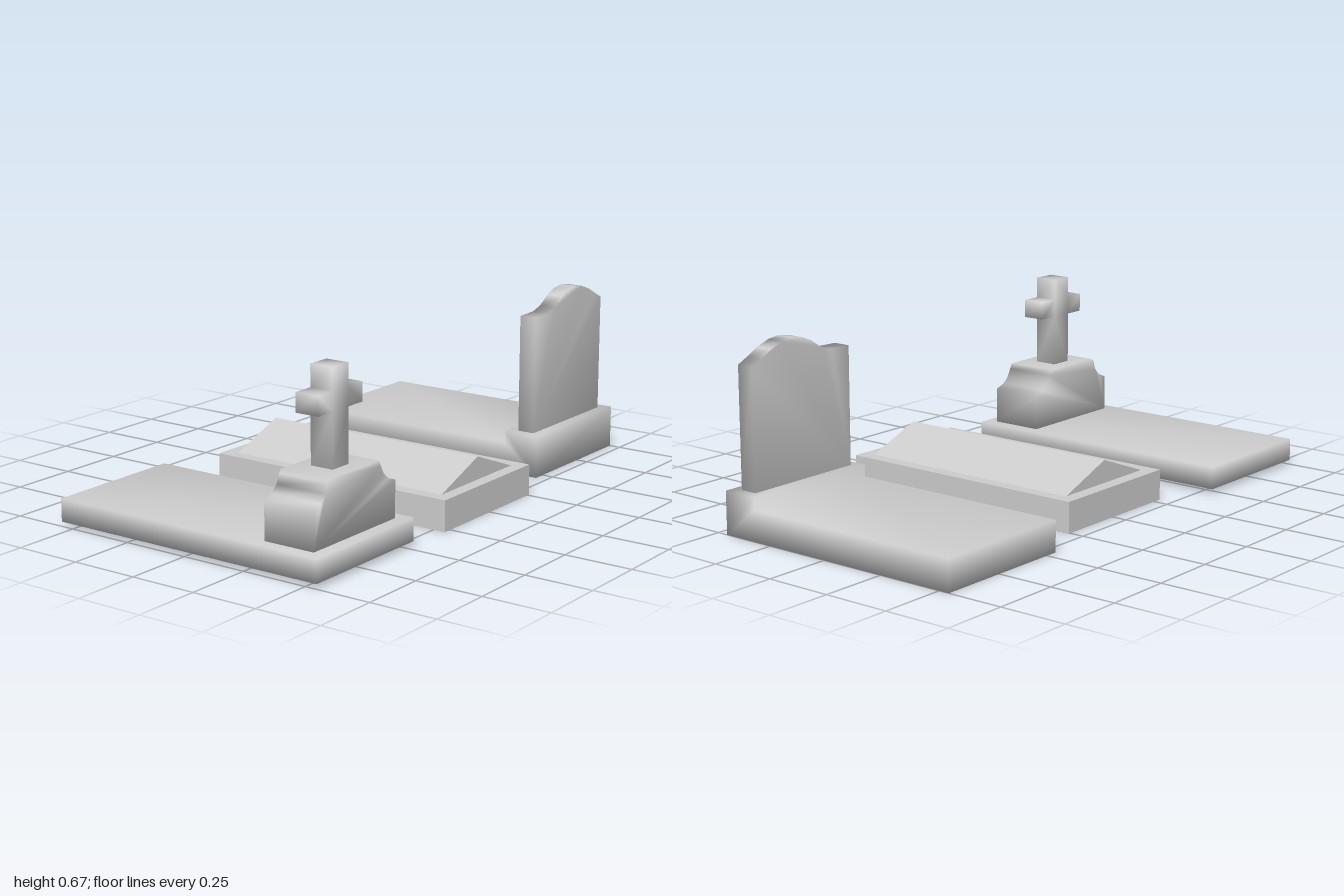
import * as THREE from 'three';
import { mergeVertices } from 'three/addons/utils/BufferGeometryUtils.js';

const stone = new THREE.MeshStandardMaterial({ color: 0xcccccc });
const flatStone = new THREE.MeshStandardMaterial({ color: 0xcccccc, flatShading: true });

// Share corner vertices so the shading rolls softly over the edges
function soften(geometry) {
  geometry.deleteAttribute('normal');
  geometry.deleteAttribute('uv');
  const merged = mergeVertices(geometry, 1e-4);
  merged.computeVertexNormals();
  return merged;
}

function extrude(points, depth) {
  const shape = new THREE.Shape(points.map(([a, b]) => new THREE.Vector2(a, b)));
  return new THREE.ExtrudeGeometry(shape, { depth, bevelEnabled: false });
}

// Profile in (z, y), swept from x0 to x1
function sweepX(points, x0, x1) {
  return extrude(points, x1 - x0).rotateY(-Math.PI / 2).translate(x1, 0, 0);
}

function box(x0, x1, y0, y1, z0, z1) {
  return new THREE.BoxGeometry(x1 - x0, y1 - y0, z1 - z0)
    .translate((x0 + x1) / 2, (y0 + y1) / 2, (z0 + z1) / 2);
}

function add(group, name, geometry, material) {
  const mesh = new THREE.Mesh(geometry, material);
  mesh.name = name;
  group.add(mesh);
}

function grave(parent, name) {
  const group = new THREE.Group();
  group.name = name;
  parent.add(group);
  return group;
}

export function createModel() {
  const model = new THREE.Group();
  model.name = 'graves';

  // Grave with a cross on a shouldered pedestal
  const crossGrave = grave(model, 'crossGrave');
  add(crossGrave, 'crossGraveSlab', soften(box(-0.55, 0.545, 0.017, 0.1, 0.467, 1)), stone);
  const pedestal = [
    [0.955, 0.1], [0.955, 0.233], [0.915, 0.25], [0.89, 0.275], [0.878, 0.308], [0.865, 0.32],
    [0.603, 0.32], [0.592, 0.3], [0.575, 0.268], [0.55, 0.247], [0.51, 0.233], [0.51, 0.1],
  ];
  add(crossGrave, 'pedestal', soften(sweepX(pedestal, 0.302, 0.5)), stone);
  const cross = [
    [0.778, 0.32], [0.778, 0.512], [0.855, 0.512], [0.855, 0.58], [0.778, 0.58], [0.778, 0.658],
    [0.692, 0.658], [0.692, 0.58], [0.615, 0.58], [0.615, 0.512], [0.692, 0.512], [0.692, 0.32],
  ];
  add(crossGrave, 'cross', soften(sweepX(cross, 0.355, 0.443)), stone);

  // Low grave with a gabled lid
  const lidGrave = grave(model, 'lidGrave');
  add(lidGrave, 'lidGraveSlab', box(-0.445, 0.547, 0, 0.113, -0.257, 0.283), flatStone);
  add(lidGrave, 'gabledLid',
    sweepX([[0.235, 0.113], [0.012, 0.197], [-0.208, 0.113]], -0.395, 0.5), flatStone);

  // Grave with a headstone; the slab steps up at the head
  const headstoneGrave = grave(model, 'headstoneGrave');
  const steppedSlab = [[-0.54, 0], [0.457, 0], [0.457, 0.157], [0.32, 0.157], [0.32, 0.113], [-0.54, 0.113]];
  add(headstoneGrave, 'steppedSlab', soften(extrude(steppedSlab, 0.547).translate(0, 0, -1)), stone);
  const headstone = [
    [-0.488, 0.157], [-0.488, 0.592], [-0.575, 0.594], [-0.625, 0.608], [-0.675, 0.64], [-0.715, 0.657],
    [-0.77, 0.665], [-0.815, 0.659], [-0.87, 0.64], [-0.92, 0.613], [-0.96, 0.594], [-0.96, 0.157],
  ];
  add(headstoneGrave, 'headstone', soften(sweepX(headstone, 0.355, 0.42)), stone);

  return model;
}
